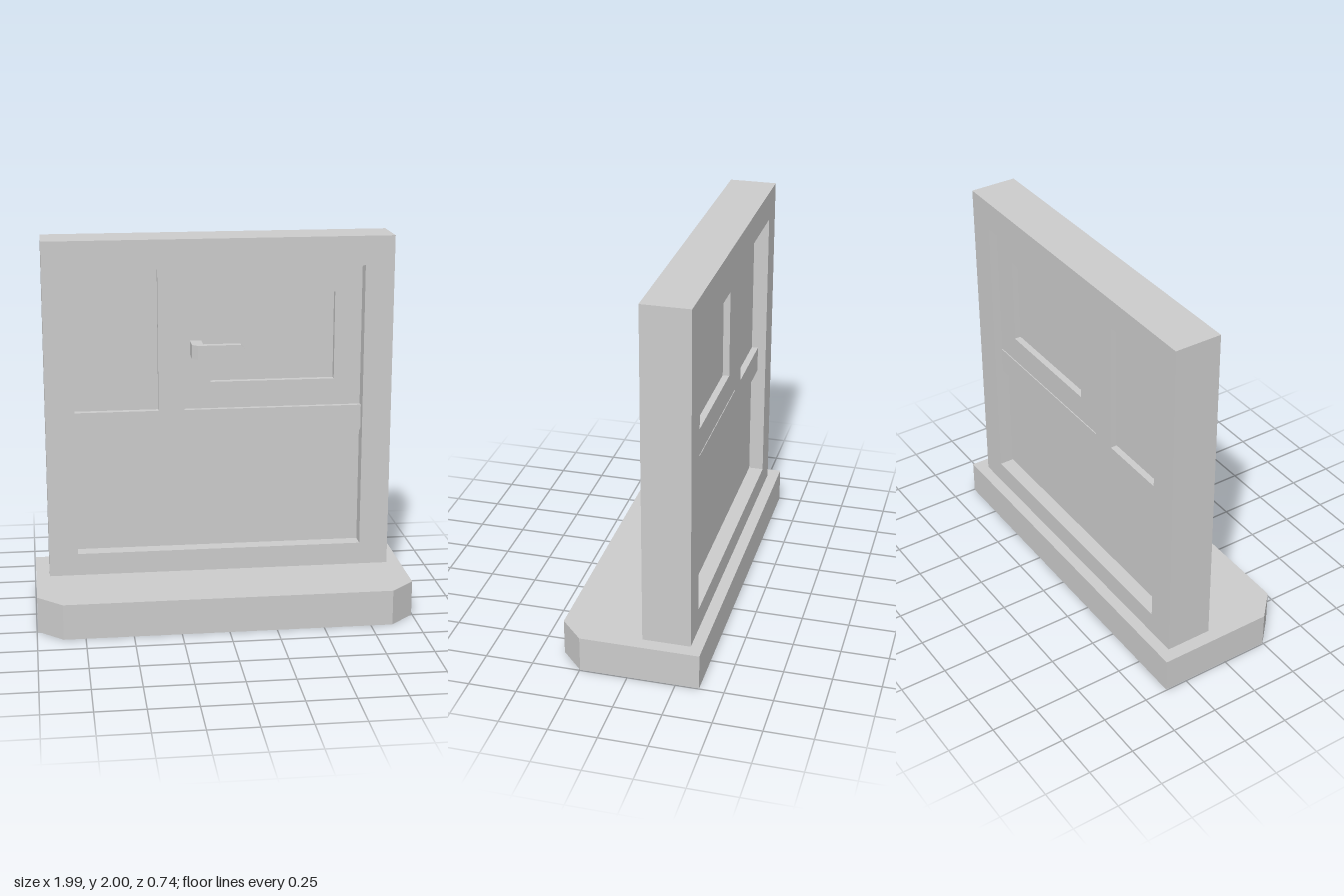
import * as THREE from 'three';

const material = new THREE.MeshStandardMaterial({ color: 0xcccccc });

export function createModel() {
  const model = new THREE.Group();

  function add(name, geometry) {
    const mesh = new THREE.Mesh(geometry, material);
    mesh.name = name;
    model.add(mesh);
  }

  const polygon = (points) => new THREE.Shape(points.map(([x, y]) => new THREE.Vector2(x, y)));
  const rect = (x0, x1, y0, y1) => polygon([[x0, y0], [x1, y0], [x1, y1], [x0, y1]]);

  // Front-facing outline extruded from z0 to z1
  function slab(name, shape, z0, z1) {
    const geometry = new THREE.ExtrudeGeometry(shape, { depth: z1 - z0, bevelEnabled: false });
    add(name, geometry.translate(0, 0, z0));
  }

  // Floor-plan outline of [x, z] points extruded from y0 to y1
  function plan(name, points, y0, y1) {
    const shape = polygon(points.map(([x, z]) => [x, -z]));
    const geometry = new THREE.ExtrudeGeometry(shape, { depth: y1 - y0, bevelEnabled: false });
    add(name, geometry.rotateX(-Math.PI / 2).translate(0, y0, 0));
  }

  const back = -0.265, front = -0.105; // inner woodwork
  const glassBack = -0.23, glassFront = -0.14;

  // Base with its front corners cut off
  plan('base', [[-0.995, -0.372], [0.995, -0.372], [0.995, 0.248], [0.865, 0.372],
    [-0.865, 0.372], [-0.995, 0.248]], 0, 0.19);

  // Outer frame
  const frame = rect(-0.923, 0.923, 0.19, 2);
  frame.holes.push(rect(-0.768, 0.768, 0.31, 1.845));
  slab('outerFrame', frame, -0.31, -0.06);

  // Cross rail and upright dividing the opening
  slab('crossRail', rect(-0.768, 0.768, 0.94, 1.08), back, front);
  slab('upright', rect(-0.323, -0.185, 1.08, 1.845), back, front);

  // Hinged sash, leaving a fine gap at its right and bottom edges
  const sash = rect(-0.185, 0.761, 1.087, 1.845);
  sash.holes.push(rect(-0.047, 0.617, 1.23, 1.70));
  slab('sash', sash, back, front);

  // Panes
  slab('lowerPane', rect(-0.768, 0.768, 0.31, 0.94), glassBack, glassFront);
  slab('upperLeftPane', rect(-0.768, -0.323, 1.08, 1.845), glassBack, glassFront);
  slab('sashPane', rect(-0.047, 0.617, 1.23, 1.70), glassBack, glassFront);

  // Handle: stem with a cut outer corner, and a lever with a blunted tip
  plan('handleStem', [[-0.155, front], [-0.095, front], [-0.095, 0.028], [-0.127, 0.028],
    [-0.155, 0]], 1.382, 1.456);
  slab('handleLever', polygon([[-0.095, 1.382], [0.1, 1.382], [0.117, 1.402], [0.117, 1.436],
    [0.1, 1.456], [-0.095, 1.456]]), -0.01, 0.028);

  return model;
}
